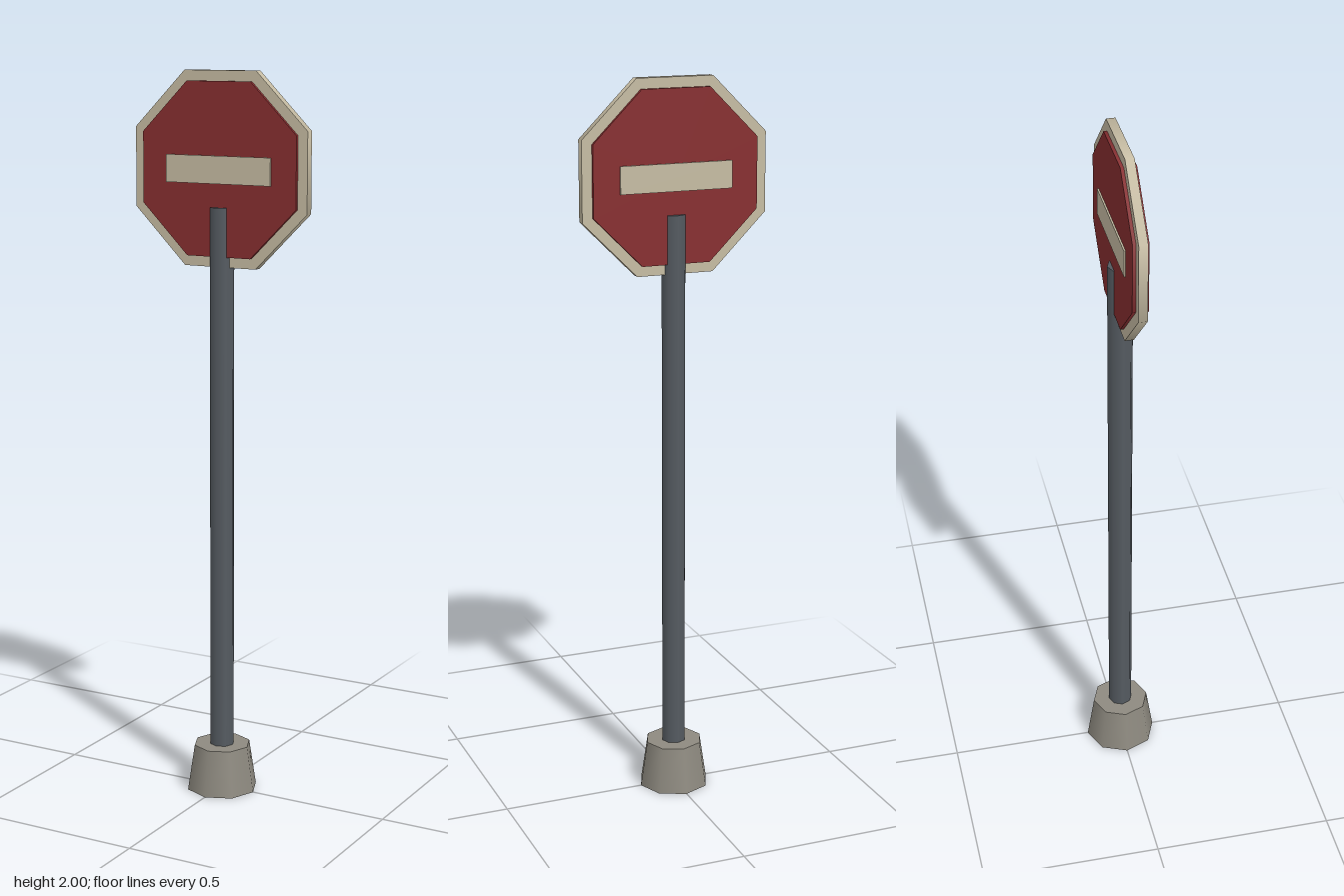
import * as THREE from 'three';

const SIDES = 8;
const SIGN_Y = 1.74;

export function createModel() {
  const mat = (name, color) => {
    const m = new THREE.MeshStandardMaterial({ color });
    m.name = name;
    return m;
  };
  const cream = mat('cream', 0xc6bca3);
  const red = mat('red', 0x872e30);
  const steel = mat('steel', 0x555b61);
  const concrete = mat('concrete', 0x8e8a80);

  const group = new THREE.Group();
  group.name = 'roadSign';
  const add = (name, geometry, material, y) => {
    const mesh = new THREE.Mesh(geometry, material);
    mesh.name = name;
    mesh.position.y = y;
    group.add(mesh);
  };

  // Upright octagonal plate with flat sides at top and bottom
  const plate = (apothem, thickness) => {
    const r = apothem / Math.cos(Math.PI / SIDES);
    return new THREE.CylinderGeometry(r, r, thickness, SIDES)
      .rotateY(Math.PI / SIDES)
      .rotateX(Math.PI / 2);
  };

  // Tapered foot and post
  add('base', new THREE.CylinderGeometry(0.08, 0.1, 0.13, SIDES), concrete, 0.065);
  add('post', new THREE.CylinderGeometry(0.034, 0.034, 1.638, SIDES), steel, 0.821);

  // Sign: rim, thicker red panel and bar, showing on both faces
  add('signRim', plate(0.26, 0.024), cream, SIGN_Y);
  add('signPanel', plate(0.232, 0.042), red, SIGN_Y);
  add('signBar', new THREE.BoxGeometry(0.316, 0.074, 0.051), cream, SIGN_Y);

  return group;
}
